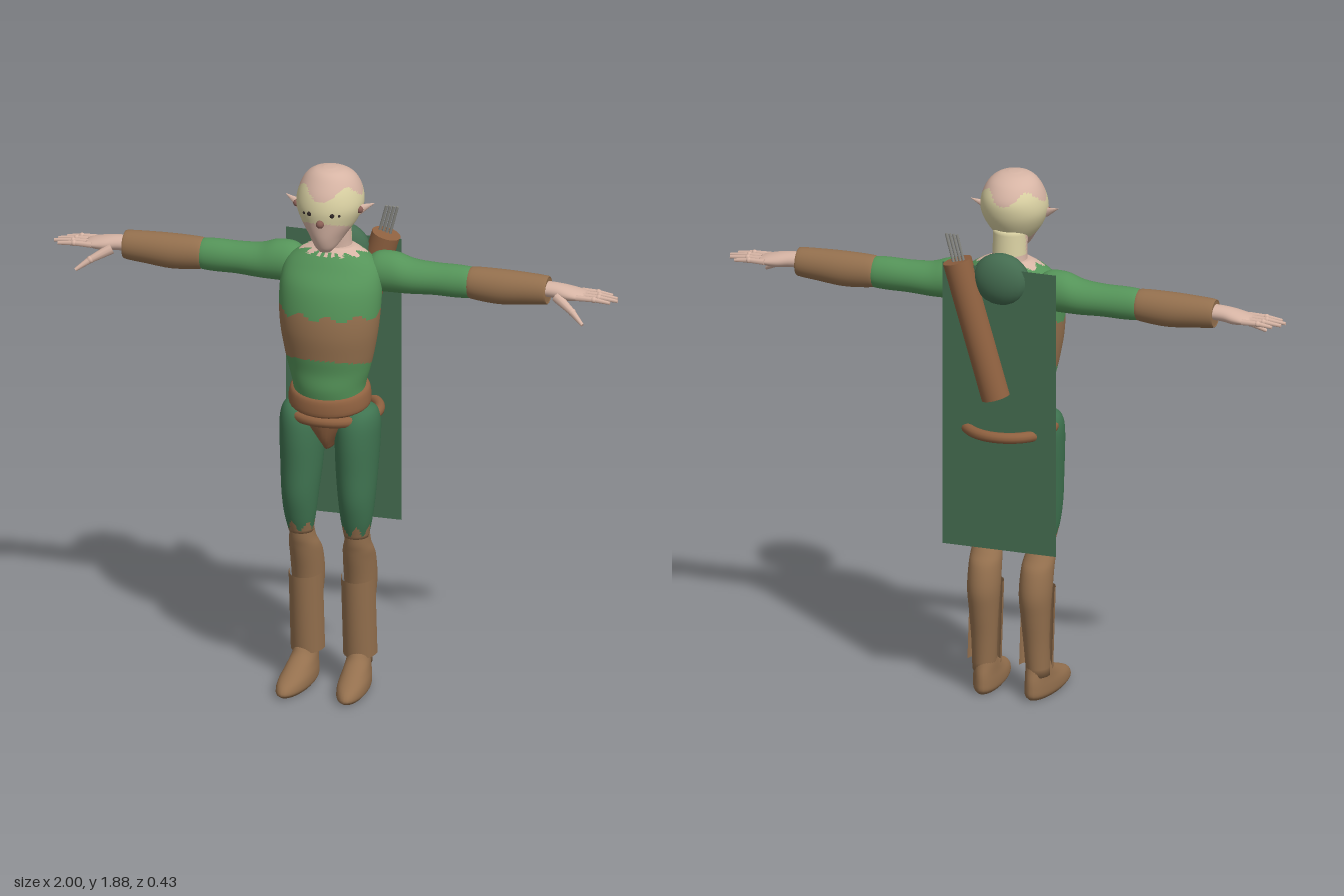
import * as THREE from 'three';

const mat = (name, color, side = THREE.FrontSide) => {
  const m = new THREE.MeshStandardMaterial({ color, side });
  m.name = name;
  return m;
};

// Smooth tube along y from sections [y, centreX, centreZ, radiusX, radiusZ], closed at both ends
function loft(sections, seg = 28, sub = 4) {
  const spline = (f) => new THREE.CatmullRomCurve3(sections.map(f), false, 'catmullrom');
  const centre = spline((s) => new THREE.Vector3(s[1], s[0], s[2]));
  const radius = spline((s) => new THREE.Vector3(s[3], 0, s[4]));
  const rows = (sections.length - 1) * sub;
  const pos = [], idx = [];
  for (let i = 0; i <= rows; i++) {
    const c = centre.getPoint(i / rows), r = radius.getPoint(i / rows);
    for (let j = 0; j < seg; j++) {
      const a = (j / seg) * Math.PI * 2;
      pos.push(c.x + r.x * Math.sin(a), c.y, c.z + r.z * Math.cos(a));
    }
  }
  const first = sections[0], last = sections[sections.length - 1];
  const base = pos.length / 3;
  pos.push(first[1], first[0], first[2], last[1], last[0], last[2]);
  for (let j = 0; j < seg; j++) {
    const k = (j + 1) % seg, t = rows * seg;
    for (let i = 0; i < rows; i++) {
      const a = i * seg + j, b = i * seg + k;
      idx.push(a, b, b + seg, a, b + seg, a + seg);
    }
    idx.push(base, k, j, base + 1, t + j, t + k);
  }
  const g = new THREE.BufferGeometry();
  g.setAttribute('position', new THREE.Float32BufferAttribute(pos, 3));
  g.setIndex(idx);
  g.computeVertexNormals();
  return g;
}

// Sort triangles into material groups by a rule on their centres
function paint(g, rule, count) {
  const p = g.attributes.position, src = g.index.array;
  const lists = Array.from({ length: count }, () => []);
  for (let i = 0; i < src.length; i += 3) {
    const t = [src[i], src[i + 1], src[i + 2]];
    const mean = (f) => (f(t[0]) + f(t[1]) + f(t[2])) / 3;
    lists[rule(mean((v) => p.getX(v)), mean((v) => p.getY(v)), mean((v) => p.getZ(v)))].push(...t);
  }
  g.setIndex(lists.flat());
  let start = 0;
  lists.forEach((l, i) => { g.addGroup(start, l.length, i); start += l.length; });
  return g;
}

// Move vertices by a rule
function bend(g, f) {
  const p = g.attributes.position, v = new THREE.Vector3();
  for (let i = 0; i < p.count; i++) {
    f(v.fromBufferAttribute(p, i));
    p.setXYZ(i, v.x, v.y, v.z);
  }
  g.computeVertexNormals();
  return g;
}

export function createModel() {
  const green = mat('tunic green', 0x559459);
  const legGreen = mat('legging green', 0x3f7350);
  const capeGreen = mat('cape green', 0x446c50, THREE.DoubleSide);
  const brown = mat('leather brown', 0x94704e, THREE.DoubleSide);
  const belt = mat('belt brown', 0x8f6140);
  const skin = mat('skin', 0xd6b4a4);
  const blond = mat('blond', 0xd9d0a2);
  const grey = mat('arrow grey', 0x85857f);
  const dark = mat('dark', 0x2e2624);
  const nosePink = mat('nose brown', 0x8a5f56);

  const model = new THREE.Group();
  const add = (name, geo, material, parent = model) => {
    const m = new THREE.Mesh(geo, material);
    m.name = name;
    parent.add(m);
    return m;
  };
  // Round rod between two points
  const rod = (name, a, b, r0, r1, material, parent = model, seg = 12) => {
    const A = new THREE.Vector3(...a), B = new THREE.Vector3(...b), d = B.clone().sub(A);
    const m = add(name, new THREE.CylinderGeometry(r1, r0, d.length(), seg), material, parent);
    m.position.copy(A).add(B).multiplyScalar(0.5);
    m.quaternion.setFromUnitVectors(new THREE.Vector3(0, 1, 0), d.normalize());
    return m;
  };
  const ball = (name, x, y, z, r, material, parent = model) => {
    const m = add(name, new THREE.SphereGeometry(r, 20, 14), material, parent);
    m.position.set(x, y, z);
    return m;
  };

  // Torso: tunic with a leather band and a ragged bare collar
  const torso = loft([
    [1.04, 0, 0.015, 0.122, 0.1], [1.1, 0, 0.02, 0.126, 0.108], [1.16, 0, 0.02, 0.142, 0.108],
    [1.22, 0, 0.02, 0.156, 0.117], [1.3, 0, 0.02, 0.17, 0.125], [1.38, 0, 0.013, 0.177, 0.125],
    [1.46, 0, -0.002, 0.177, 0.118], [1.52, 0, -0.022, 0.163, 0.098],
    [1.56, 0, -0.03, 0.12, 0.076], [1.585, 0, -0.035, 0.07, 0.055]], 56, 8);
  paint(torso, (x, y, z) => {
    const a = Math.atan2(x, z), low = 1.182 + 0.035 * Math.max(0, Math.cos(a));
    if (y > 1.567 + 0.008 * Math.sin(a * 12)) return 2;
    return y > low && y < 1.368 + 0.012 * Math.sin(a * 9) ? 1 : 0;
  }, 3);
  add('torso', torso, [green, brown, skin]);

  // Pelvis, tilted sash and belt ring
  add('pelvis', loft([[0.87, 0, 0.01, 0.015, 0.05], [0.91, 0, 0.005, 0.04, 0.085],
    [0.97, 0, 0.01, 0.09, 0.1], [1.03, 0, 0.012, 0.13, 0.108], [1.06, 0, 0.012, 0.125, 0.1]]), belt);
  add('sash', bend(loft([[1.02, 0, 0.012, 0.13, 0.105], [1.035, 0, 0.012, 0.143, 0.12],
    [1.08, 0, 0.012, 0.138, 0.118], [1.095, 0, 0.012, 0.12, 0.1]], 32),
  (v) => { v.y -= v.z * 0.2 - 0.005; }), belt);
  const ring = add('beltRing', new THREE.TorusGeometry(0.152, 0.019, 12, 48), belt);
  ring.rotation.x = Math.PI / 2;
  ring.position.set(0, 0.985, -0.042);

  // Neck and head
  add('neck', paint(loft([[1.52, 0, -0.045, 0.075, 0.06], [1.58, 0, -0.04, 0.062, 0.056],
    [1.63, 0, -0.035, 0.06, 0.056], [1.69, 0, -0.03, 0.06, 0.055]]),
  (x, y, z) => (z < -0.04 && y > 1.605 ? 1 : 0), 2), [skin, blond]);
  const head = loft([
    [1.595, 0, 0.07, 0.022, 0.022], [1.615, 0, 0.06, 0.04, 0.046], [1.65, 0, 0.034, 0.064, 0.084],
    [1.7, 0, 0.018, 0.097, 0.107], [1.75, 0, 0.01, 0.115, 0.12], [1.8, 0, 0.004, 0.109, 0.115],
    [1.845, 0, 0.005, 0.088, 0.088], [1.87, 0, 0.012, 0.058, 0.056], [1.88, 0, 0.015, 0.02, 0.02]], 56, 8);
  paint(head, (x, y, z) => {
    const a = Math.atan2(x, z);
    const top = 1.808 - 0.022 * Math.cos(a * 4) + (z > 0 ? 0 : 0.004);
    const low = 1.655 + 0.055 * Math.max(0, Math.cos(a));
    return y > low && y < top ? 1 : 0;
  }, 2);
  add('head', head, [skin, blond]);
  ball('nose', 0, 1.71, 0.13, 0.014, nosePink);
  for (const s of [-1, 1]) {
    ball('eye', s * 0.04, 1.742, 0.121, 0.008, dark);
    ball('pupilCorner', s * 0.062, 1.74, 0.11, 0.005, dark);
    const ear = rod('ear', [s * 0.105, 1.738, 0.025], [s * 0.157, 1.762, 0.01], 0.018, 0.001, skin);
    ear.scale.z = 0.7;
    ball('earHollow', s * 0.112, 1.742, 0.034, 0.012, nosePink);
  }

  // One leg and one arm, built on the +x side and mirrored
  const buildSide = (side) => {
    const g = new THREE.Group();
    g.name = side > 0 ? 'leftLimbs' : 'rightLimbs';
    g.scale.x = side;
    model.add(g);

    const thigh = loft([[0.555, 0.098, 0.028, 0.042, 0.044], [0.62, 0.1, 0.032, 0.054, 0.06],
      [0.7, 0.1, 0.03, 0.063, 0.078], [0.8, 0.098, 0.02, 0.071, 0.09], [0.9, 0.098, 0.012, 0.076, 0.099],
      [0.97, 0.1, 0.008, 0.074, 0.094], [1.01, 0.108, 0.008, 0.054, 0.07], [1.03, 0.115, 0.008, 0.02, 0.03]], 36, 6);
    paint(thigh, (x, y, z) => {
      const a = Math.atan2(x - 0.1, z - 0.03);
      return y < 0.585 + 0.018 * Math.sin(a * 6) ? 1 : 0;
    }, 2);
    add('thigh', thigh, [legGreen, brown], g);
    add('calf', loft([[0.08, 0.097, -0.022, 0.04, 0.05], [0.2, 0.094, -0.033, 0.044, 0.05],
      [0.3, 0.093, -0.04, 0.05, 0.058], [0.38, 0.093, -0.04, 0.056, 0.066], [0.46, 0.094, -0.022, 0.056, 0.065],
      [0.5, 0.096, -0.003, 0.053, 0.054], [0.535, 0.098, 0.012, 0.045, 0.046], [0.6, 0.1, 0.022, 0.04, 0.04]]), brown, g);
    const guard = add('shinGuard', new THREE.CylinderGeometry(0.059, 0.059, 0.285, 24, 1, true, -Math.PI / 2, Math.PI), brown, g);
    guard.scale.z = 1.2;
    guard.rotation.x = 0.09;
    guard.position.set(0.093, 0.253, -0.028);
    add('foot', bend(loft([[0, 0, 0.06, 0.042, 0.135], [0.015, 0, 0.063, 0.052, 0.152],
      [0.042, 0, 0.052, 0.052, 0.141], [0.07, 0, 0.02, 0.046, 0.105], [0.1, 0, -0.01, 0.041, 0.066],
      [0.13, 0, -0.02, 0.036, 0.048]]), (v) => { v.x += 0.096 + 0.07 * v.z; }), brown, g);

    // Arm sections run along x: [x, -y, z, half height, half depth]
    const limb = (name, sections, material) =>
      add(name, loft(sections).rotateZ(-Math.PI / 2), material, g);
    limb('upperArm', [[0.11, -1.485, -0.06, 0.05, 0.045], [0.15, -1.492, -0.06, 0.07, 0.062],
      [0.21, -1.492, -0.062, 0.071, 0.065], [0.27, -1.483, -0.064, 0.061, 0.062], [0.35, -1.482, -0.066, 0.056, 0.056],
      [0.43, -1.482, -0.066, 0.057, 0.053], [0.48, -1.482, -0.066, 0.052, 0.048], [0.5, -1.482, -0.066, 0.03, 0.03]], green);
    limb('bracer', [[0.47, -1.482, -0.066, 0.046, 0.044], [0.485, -1.482, -0.066, 0.056, 0.052],
      [0.58, -1.479, -0.066, 0.061, 0.057], [0.67, -1.482, -0.066, 0.056, 0.053],
      [0.745, -1.484, -0.066, 0.05, 0.047], [0.75, -1.484, -0.066, 0.042, 0.04]], brown);
    limb('hand', [[0.73, -1.49, -0.065, 0.026, 0.034], [0.78, -1.488, -0.065, 0.026, 0.036],
      [0.82, -1.483, -0.066, 0.025, 0.043], [0.86, -1.48, -0.068, 0.018, 0.044], [0.885, -1.479, -0.068, 0.01, 0.038]], skin);
    [0.968, 0.992, 1, 0.98].forEach((tip, i) => {
      const z = -0.106 + i * 0.025, mid = (0.865 + tip) / 2;
      rod('fingerBase', [0.86, 1.481, z], [mid, 1.481, z], 0.011, 0.009, skin, g, 8);
      ball('knuckle', mid, 1.481, z, 0.0105, skin, g);
      rod('fingerTip', [mid, 1.481, z], [tip, 1.475, z], 0.009, 0.006, skin, g, 8);
    });
    rod('thumbBase', [0.79, 1.475, -0.035], [0.855, 1.44, 0.0], 0.019, 0.012, skin, g, 10);
    ball('thumbKnuckle', 0.855, 1.44, 0, 0.013, skin, g);
    rod('thumbTip', [0.855, 1.44, 0], [0.9, 1.408, 0.028], 0.012, 0.006, skin, g, 10);
  };
  buildSide(1);
  buildSide(-1);

  // Flat cape with the hood resting on it
  add('cape', new THREE.PlaneGeometry(0.41, 1.02), capeGreen).position.set(0, 1.07, -0.145);
  ball('hood', 0, 1.535, -0.125, 0.1, capeGreen).scale.set(1, 0.92, 0.58);

  // Slanted quiver with arrow shafts
  rod('quiver', [0.01, 1.115, -0.15], [0.15, 1.593, -0.15], 0.05, 0.05, belt, model, 28);
  for (let i = 0; i < 4; i++) {
    const x = (i - 1.5) * 0.013;
    rod('arrow', [0.13 + x, 1.55, -0.16], [0.167 + x, 1.69, -0.16], 0.005, 0.005, grey, model, 8);
  }
  return model;
}
